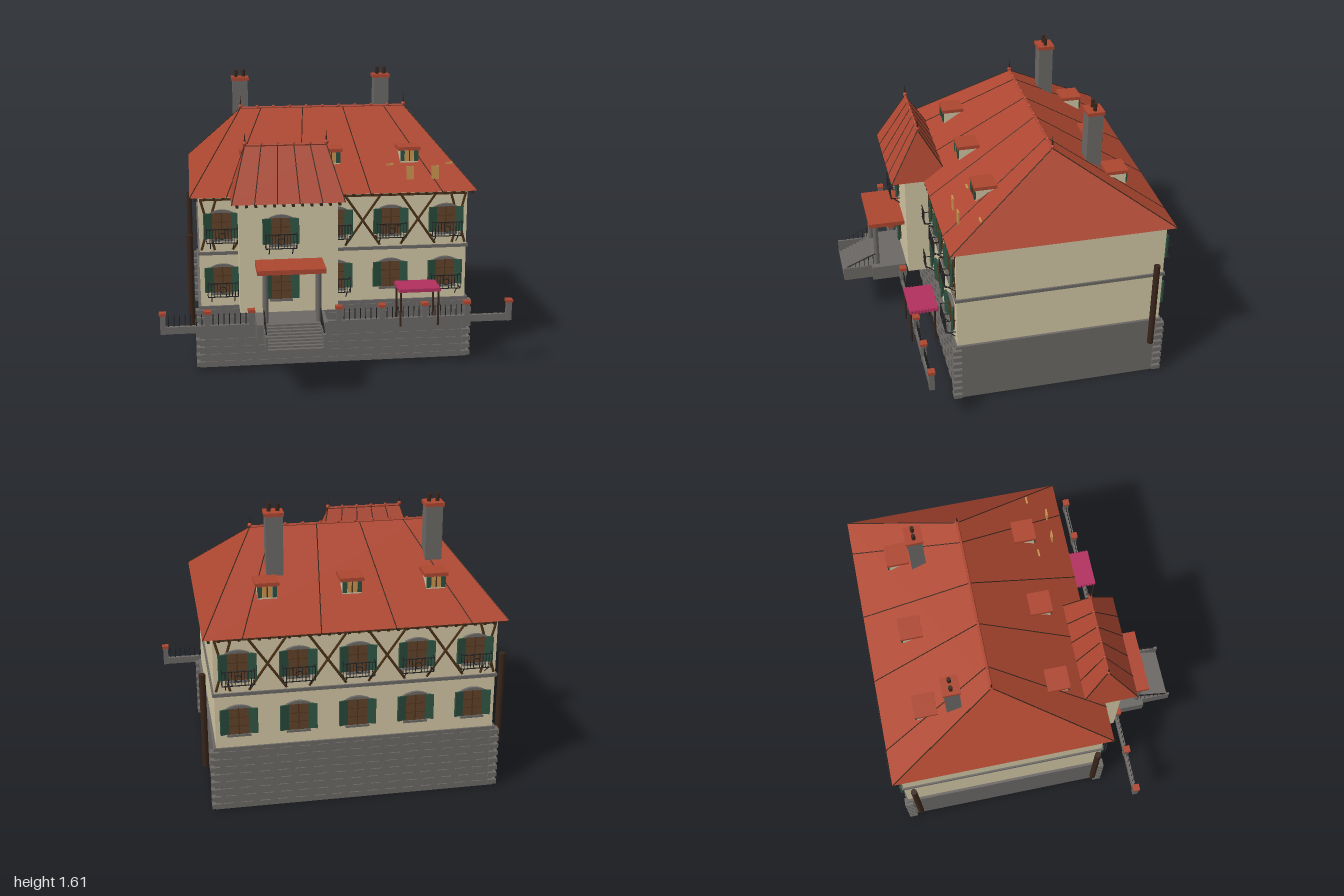
import * as THREE from 'three';

const mat = (name, color) => Object.assign(new THREE.MeshStandardMaterial({ color }), { name });
const M = {
  stone: mat('grey stone', 0x6a6764),
  cream: mat('cream plaster', 0xcfc4a2),
  roof: mat('red tile', 0xac4630),
  green: mat('shutter green', 0x2b4f3e),
  glass: mat('window brown', 0x5f4128),
  wood: mat('timber brown', 0x4e3318),
  post: mat('dark post wood', 0x38251a),
  iron: mat('black iron', 0x222224),
  amber: mat('amber', 0xc8914e),
  pink: mat('pink cloth', 0xb0305e),
};
M.roof.flatShading = true;

function add(parent, name, geo, m, x = 0, y = 0, z = 0) {
  const mesh = new THREE.Mesh(geo, m);
  mesh.name = name;
  mesh.position.set(x, y, z);
  parent.add(mesh);
  return mesh;
}
// box given by its minimum and maximum corners
const box = (p, name, m, x0, x1, y0, y1, z0, z1) =>
  add(p, name, new THREE.BoxGeometry(x1 - x0, y1 - y0, z1 - z0), m, (x0 + x1) / 2, (y0 + y1) / 2, (z0 + z1) / 2);
// bar between two points
function rod(p, name, m, a, b, r, sides = 6) {
  const A = new THREE.Vector3(...a), B = new THREE.Vector3(...b), d = B.clone().sub(A);
  const mesh = add(p, name, new THREE.CylinderGeometry(r, r, d.length(), sides), m);
  mesh.position.copy(A).lerp(B, 0.5);
  mesh.quaternion.setFromUnitVectors(new THREE.Vector3(0, 1, 0), d.normalize());
  return mesh;
}
function group(parent, name, x = 0, y = 0, z = 0) {
  const g = new THREE.Group();
  g.name = name;
  g.position.set(x, y, z);
  parent.add(g);
  return g;
}

// hipped roof with seams, ridge beads, finials and rafter tails
function hipRoof(parent, name, x, y, z, ex, ez, rx, h, seams) {
  const g = group(parent, name, x, y, z);
  const v = [[-ex, 0, ez], [ex, 0, ez], [ex, 0, -ez], [-ex, 0, -ez], [-rx, h, 0], [rx, h, 0]];
  const faces = [0, 1, 5, 0, 5, 4, 1, 2, 5, 2, 3, 4, 2, 4, 5, 3, 0, 4, 0, 3, 2, 0, 2, 1];
  const geo = new THREE.BufferGeometry();
  geo.setAttribute('position', new THREE.Float32BufferAttribute(faces.flatMap(i => v[i]), 3));
  geo.computeVertexNormals();
  add(g, 'roofSlopes', geo, M.roof);
  for (const s of [-1, 1]) {
    for (const e of [-1, 1]) rod(g, 'hipSeam', M.post, [s * ex, 0, e * ez], [s * rx, h, 0], 0.003);
    for (const f of seams) rod(g, 'roofSeam', M.post, [f * ex, 0, s * ez], [f * rx, h, 0], 0.003);
    add(g, 'finialBase', new THREE.SphereGeometry(0.013, 8, 6), M.roof, s * rx, h + 0.01, 0);
    add(g, 'finial', new THREE.ConeGeometry(0.007, 0.07, 6), M.post, s * rx, h + 0.04, 0);
    const n = Math.round(ex * 2 / 0.054);
    for (let i = 0; i <= n; i++) {
      const tx = -ex + 0.03 + (2 * ex - 0.06) * i / n;
      box(g, 'rafterTail', M.post, tx - 0.007, tx + 0.007, -0.016, -0.002, Math.min(s * (ez - 0.045), s * ez), Math.max(s * (ez - 0.045), s * ez));
    }
  }
  rod(g, 'ridge', M.roof, [-rx, h, 0], [rx, h, 0], 0.008);
  const beads = Math.round(rx * 20);
  for (let i = 0; i <= beads; i++) add(g, 'ridgeBead', new THREE.SphereGeometry(0.01, 6, 5), M.roof, -rx + 2 * rx * i / beads, h + 0.006, 0);
}

// shuttered window on a wall at local z = 0, facing +z; y is the sill
function windowUnit(parent, x, y, balcony) {
  const g = group(parent, 'window', x, y, 0);
  box(g, 'pane', M.glass, -0.06, 0.06, 0, 0.155, 0, 0.012);
  const arch = new THREE.Shape().moveTo(-0.065, 0).quadraticCurveTo(0, 0.035, 0.065, 0).closePath();
  add(g, 'lintel', new THREE.ExtrudeGeometry(arch, { depth: 0.016, bevelEnabled: false }), M.stone, 0, 0.152, 0);
  box(g, 'sill', M.stone, -0.065, 0.065, -0.012, 0, 0, 0.02);
  box(g, 'mullion', M.wood, -0.003, 0.003, 0, 0.155, 0.012, 0.016);
  for (const h of [0.05, 0.1]) box(g, 'glazingBar', M.wood, -0.055, 0.055, h - 0.002, h + 0.002, 0.012, 0.015);
  for (const s of [-1, 1]) {
    const shutter = box(g, 'shutter', M.green, -0.024, 0.024, 0.005, 0.15, 0, 0.012);
    shutter.position.x = s * 0.077;
    shutter.position.z = 0.016;
    shutter.rotation.y = -s * 0.3;
  }
  if (!balcony) return;
  const b = group(g, 'balcony', 0, -0.012, 0), w = 0.085, d = 0.055, t = 0.08;
  for (const h of [0, t]) {
    rod(b, 'frontRail', M.iron, [-w, h, d], [w, h, d], 0.003);
    for (const s of [-1, 1]) rod(b, 'sideRail', M.iron, [s * w, h, 0], [s * w, h, d], 0.003);
  }
  for (let i = 0; i <= 10; i++) {
    if (i === 5) continue;
    const bx = -w + 2 * w * i / 10;
    rod(b, 'baluster', M.iron, [bx, 0, d], [bx, t, d], 0.002, 4);
  }
  add(b, 'ringOrnament', new THREE.TorusGeometry(0.018, 0.003, 5, 12), M.iron, 0, t / 2, d);
  for (const s of [-1, 1]) rod(b, 'bracket', M.iron, [s * 0.065, -0.045, 0], [s * 0.065, 0, d], 0.003);
}

// two storeys of windows with upper cross bracing
function facade(parent, name, z, turn, lowerBalconies, skip) {
  const g = group(parent, name, 0, 0, z);
  g.rotation.y = turn;
  for (let i = -2; i <= 2; i++) {
    if (i === skip) continue;
    windowUnit(g, i * 0.32, 0.765, true);
    windowUnit(g, i * 0.32, 0.45, lowerBalconies.includes(i));
  }
  const brace = (a, b) => {
    const r = rod(g, 'brace', M.wood, [a, 0.70, 0.002], [b, 0.99, 0.002], 0.007, 4);
    r.scale.z = 0.7;
  };
  for (const c of [-0.48, -0.16, 0.16, 0.48]) {
    brace(c - 0.1, c + 0.1);
    brace(c + 0.1, c - 0.1);
  }
  for (const s of [-1, 1]) {
    brace(s * 0.755, s * 0.67);
    brace(s * 0.68, s * 0.755);
  }
  box(g, 'topRail', M.wood, -0.76, 0.76, 0.985, 0.998, 0, 0.006);
  // staggered stone courses
  for (let r = 0; r < 8; r++) for (let c = 0; c < 15; c++) {
    const x = -0.71 + c * 0.1 + (r % 2) * 0.02;
    box(g, 'stoneCourse', M.stone, x - 0.03, x + 0.03, 0.015 + r * 0.045, 0.035 + r * 0.045, 0.005, 0.017);
  }
}

export function createModel() {
  const house = new THREE.Group();
  house.name = 'house';

  // body
  box(house, 'stoneBase', M.stone, -0.78, 0.78, 0, 0.37, -0.85, 0.35);
  box(house, 'walls', M.cream, -0.765, 0.765, 0.37, 1.01, -0.84, 0.34);
  box(house, 'stringCourse', M.stone, -0.775, 0.775, 0.672, 0.69, -0.85, 0.35);
  box(house, 'bayWalls', M.cream, -0.55, 0, 0.37, 1.01, 0.3, 0.49);
  for (const x of [-0.775, 0.775]) for (const z of [-0.84, 0.345])
    for (let i = 0; i < 8; i++) box(house, 'quoin', M.stone, x - 0.025, x + 0.025, 0.012 + i * 0.045, 0.038 + i * 0.045, z - 0.025, z + 0.025);
  facade(house, 'frontFacade', 0.34, 0, [-2, 0, 2], -1);
  facade(house, 'backFacade', -0.84, Math.PI, [], null);
  const bay = group(house, 'bayFacade', 0, 0, 0.49);
  windowUnit(bay, -0.32, 0.765, true);
  windowUnit(bay, -0.32, 0.45, false);

  // roofs
  hipRoof(house, 'mainRoof', 0, 1.01, -0.25, 0.815, 0.63, 0.495, 0.4, [-0.75, -0.245, 0.245, 0.75]);
  hipRoof(house, 'bayRoof', -0.28, 1.01, 0.395, 0.31, 0.175, 0.225, 0.295, [-0.6, -0.2, 0.2, 0.6]);

  // dormers on both slopes
  for (const s of [-1, 1]) for (const x of [-0.46, 0, 0.455]) {
    const d = group(house, 'dormer', x, 0, -0.25);
    if (s < 0) d.rotation.y = Math.PI;
    box(d, 'dormerBody', M.cream, -0.052, 0.052, 1.13, 1.215, 0.31, 0.425);
    box(d, 'dormerCap', M.roof, -0.065, 0.065, 1.212, 1.232, 0.308, 0.435);
    box(d, 'dormerWindow', M.amber, -0.026, 0.026, 1.15, 1.21, 0.425, 0.43);
    box(d, 'dormerMullion', M.wood, -0.003, 0.003, 1.15, 1.21, 0.43, 0.433);
    for (const e of [-1, 1]) box(d, 'dormerShutter', M.green, e * 0.04 - 0.012, e * 0.04 + 0.012, 1.15, 1.21, 0.425, 0.434);
  }
  // amber roof plates
  for (const x of [0.44, 0.586]) box(house, 'roofPlate', M.amber, x - 0.021, x + 0.021, 1.065, 1.143, 0.286, 0.294);
  for (const x of [0.34, 0.688]) box(house, 'roofSlat', M.amber, x - 0.021, x + 0.021, 1.13, 1.14, 0.185, 0.195);

  // chimneys
  for (const [x, z] of [[-0.487, -0.465], [0.395, -0.505]]) {
    const c = group(house, 'chimney', x, 0, z);
    box(c, 'stack', M.stone, -0.046, 0.046, 1.1, 1.55, -0.042, 0.042);
    box(c, 'stackCap', M.roof, -0.053, 0.053, 1.55, 1.57, -0.049, 0.049);
    for (const s of [-1, 1]) add(c, 'chimneyPot', new THREE.CylinderGeometry(0.011, 0.011, 0.045, 10), M.post, s * 0.023, 1.59, 0);
  }

  // tall corner posts
  for (const [x, z] of [[0.82, -0.78], [-0.82, -0.78], [-0.82, 0.3]])
    add(house, 'tallPost', new THREE.CylinderGeometry(0.018, 0.018, 0.54, 10), M.post, x, 0.51, z);

  // porch and steps
  const porch = group(house, 'porch');
  box(porch, 'platform', M.stone, -0.47, -0.08, 0.28, 0.37, 0.49, 0.7);
  box(porch, 'porchRoof', M.roof, -0.465, -0.09, 0.652, 0.678, 0.48, 0.705);
  for (const x of [-0.42, -0.13]) add(porch, 'column', new THREE.CylinderGeometry(0.016, 0.016, 0.285, 10), M.stone, x, 0.51, 0.665);
  for (let i = 0; i < 8; i++) box(porch, 'step', M.stone, -0.435, -0.115, 0.28, 0.36 - i * 0.01, 0.69, 0.72 + i * 0.022);
  for (const x of [-0.43, -0.12]) {
    box(porch, 'stringer', M.stone, x - 0.006, x + 0.006, 0.28, 0.365, 0.69, 0.875);
    rod(porch, 'handrail', M.iron, [x, 0.445, 0.675], [x, 0.37, 0.85], 0.004);
    for (let i = 0; i < 6; i++) {
      const z = 0.69 + i * 0.028;
      rod(porch, 'railBar', M.iron, [x, 0.36, z], [x, 0.445 - (z - 0.675) * 0.43, z], 0.002, 4);
    }
  }

  // garden wall with piers and iron bars
  const fence = group(house, 'gardenWall');
  box(fence, 'lowWall', M.stone, -0.98, -0.47, 0.28, 0.32, 0.515, 0.538);
  box(fence, 'lowWall', M.stone, -0.08, 0.98, 0.28, 0.32, 0.515, 0.538);
  for (let i = -4; i <= 4; i++) {
    const x = i * 0.245;
    if (i !== -1) {
      box(fence, 'pier', M.stone, x - 0.015, x + 0.015, 0.28, 0.39, 0.511, 0.541);
      box(fence, 'pierCap', M.roof, x - 0.02, x + 0.02, 0.388, 0.405, 0.506, 0.546);
    }
    if (i === 4 || i === -2 || i === -1) continue;
    for (let k = 1; k <= 7; k++) rod(fence, 'fenceBar', M.iron, [x + k * 0.0306, 0.32, 0.526], [x + k * 0.0306, 0.385, 0.526], 0.0025, 4);
  }

  // pink awning with scalloped edges
  const awning = group(house, 'awning', 0.453, 0, 0.49);
  box(awning, 'canopy', M.pink, -0.112, 0.112, 0.48, 0.5, -0.082, 0.082);
  for (const s of [-1, 1]) {
    for (let i = 0; i < 9; i++) add(awning, 'scallop', new THREE.CylinderGeometry(0.008, 0.008, 0.018, 8), M.pink, s * 0.112, 0.489, -0.072 + i * 0.018);
    for (const z of [-0.062, 0.075]) rod(awning, 'awningPost', M.post, [s * 0.107, 0.28, z], [s * 0.107, 0.482, z], 0.006);
  }
  return house;
}
